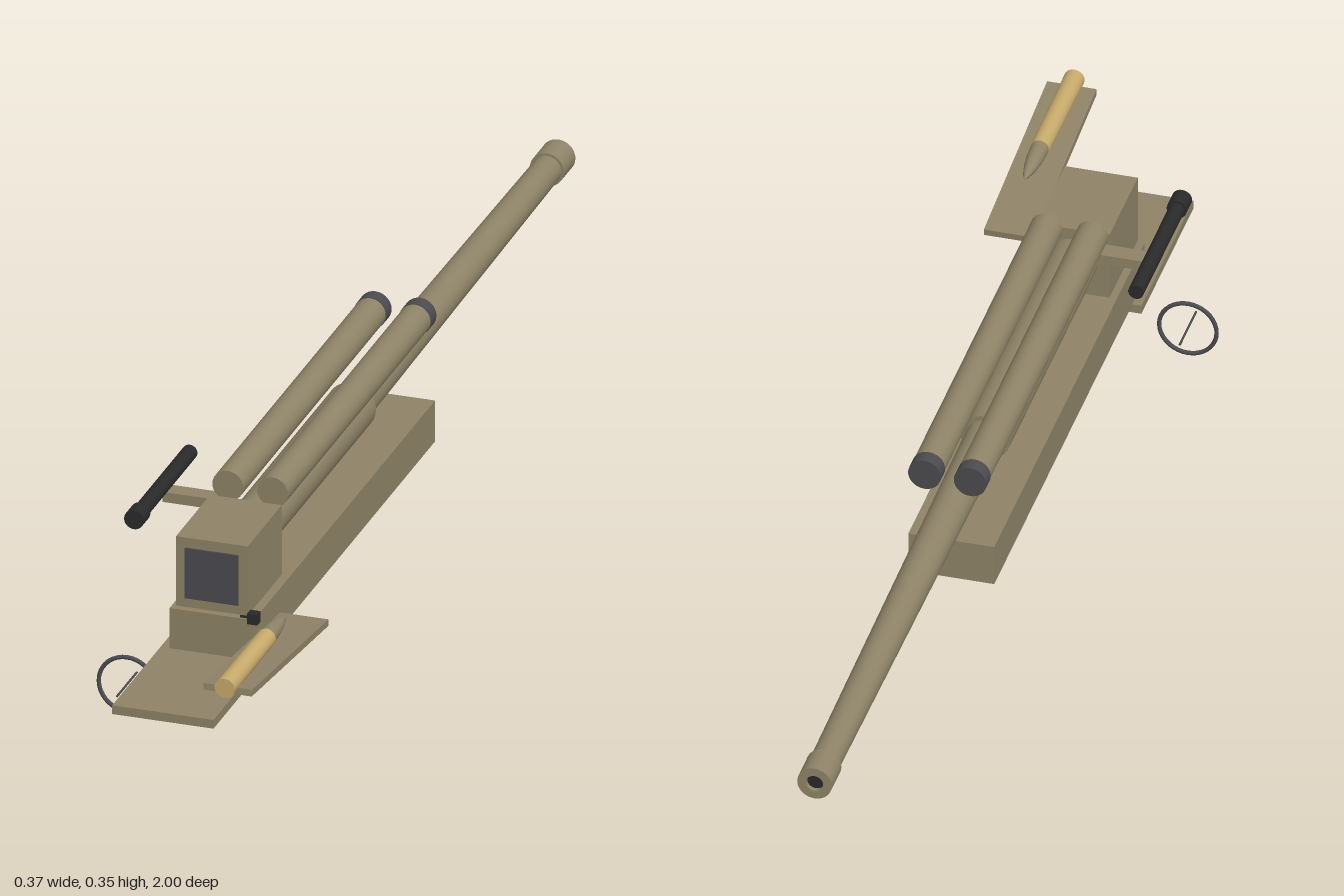
import * as THREE from 'three';

export function createModel() {
  const gun = new THREE.Group();
  gun.name = 'fieldGun';

  const material = (name, color) => {
    const m = new THREE.MeshStandardMaterial({ color });
    m.name = name;
    return m;
  };
  const olive = material('olivePaint', 0x8f8468);
  const steel = material('darkSteel', 0x4c4b50);
  const black = material('blackMetal', 0x2a2a2a);
  const brass = material('brass', 0xc8ab6c);

  const add = (name, geometry, mat, x, y, z) => {
    const mesh = new THREE.Mesh(geometry, mat);
    mesh.name = name;
    mesh.position.set(x, y, z);
    gun.add(mesh);
    return mesh;
  };
  // Box given by its limits on each axis
  const box = (name, mat, [x0, x1], [y0, y1], [z0, z1]) =>
    add(name, new THREE.BoxGeometry(x1 - x0, y1 - y0, z1 - z0), mat,
      (x0 + x1) / 2, (y0 + y1) / 2, (z0 + z1) / 2);
  // Cylinder lying along z from back (z0) to front (z1)
  const rod = (name, mat, x, y, z0, z1, r0, r1 = r0) => {
    const g = new THREE.CylinderGeometry(r1, r0, z1 - z0, 28);
    g.rotateX(Math.PI / 2);
    return add(name, g, mat, x, y, (z0 + z1) / 2);
  };

  const axisX = 0.004, axisY = 0.26;

  // Cradle and loading platform
  box('cradle', olive, [-0.065, 0.074], [0.125, 0.195], [-0.21, 0.655]);
  box('platform', olive, [-0.08, 0.087], [0.111, 0.126], [0.585, 0.885]);

  // Breech with its block and opening lever
  box('breech', olive, [-0.055, 0.063], [0.2, 0.319], [0.49, 0.653]);
  box('breechBlock', steel, [-0.04, 0.048], [0.216, 0.302], [0.649, 0.656]);
  box('leverArm', black, [0.05, 0.066], [0.195, 0.2], [0.645, 0.652]);
  box('leverGrip', black, [0.063, 0.08], [0.187, 0.205], [0.64, 0.656]);

  // Barrel sleeve, tapered barrel and hollow muzzle
  rod('sleeve', olive, axisX, axisY, -0.015, 0.49, 0.04);
  const tube = new THREE.LatheGeometry([
    [0.032, 0.01], [0.024, -0.945],
  ].map(([r, z]) => new THREE.Vector2(r, -z)), 28);
  tube.rotateX(-Math.PI / 2);
  add('barrel', tube, olive, axisX, axisY, 0);
  const ring = new THREE.Shape().absarc(0, 0, 0.028, 0, Math.PI * 2);
  ring.holes.push(new THREE.Path().absarc(0, 0, 0.014, 0, Math.PI * 2, true));
  add('muzzleRing', new THREE.ExtrudeGeometry(ring,
    { depth: 0.055, bevelEnabled: false, curveSegments: 28 }), olive, axisX, axisY, -1);
  rod('bore', black, axisX, axisY, -0.992, -0.95, 0.0145);

  // Pair of recoil cylinders with end caps
  for (const side of [-1, 1]) {
    const x = axisX + side * 0.037;
    rod('recoilCylinder', olive, x, 0.329, -0.215, 0.47, 0.0255);
    rod('recoilCap', steel, x, 0.329, -0.235, -0.21, 0.0265);
  }

  // Sighting telescope on its bracket
  box('sightBracket', olive, [-0.137, -0.05], [0.29, 0.307], [0.45, 0.48]);
  rod('telescope', black, -0.137, 0.319, 0.35, 0.6, 0.0125);
  rod('eyepiece', black, -0.137, 0.319, 0.585, 0.617, 0.0162);

  // Handwheel and its axle
  add('handwheel', new THREE.TorusGeometry(0.0465, 0.0035, 10, 36), steel, -0.137, 0.051, 0.65);
  rod('handwheelAxle', steel, -0.137, 0.051, 0.603, 0.697, 0.0018);

  // Sloping loading tray
  const tray = add('loadingTray', new THREE.BoxGeometry(0.08, 0.011, 0.367), olive, 0.145, 0.2115, 0.803);
  tray.rotation.x = -0.104;

  // Shell: brass case and pointed nose
  rod('shellCase', brass, 0.145, 0.239, 0.8, 1, 0.0155, 0.0165);
  const nose = new THREE.LatheGeometry([
    [0.0145, 0], [0.0135, 0.03], [0.0105, 0.055], [0.006, 0.076], [0, 0.09],
  ].map(([r, h]) => new THREE.Vector2(r, h)), 28);
  nose.rotateX(-Math.PI / 2);
  add('shellNose', nose, olive, 0.145, 0.239, 0.801);

  return gun;
}
